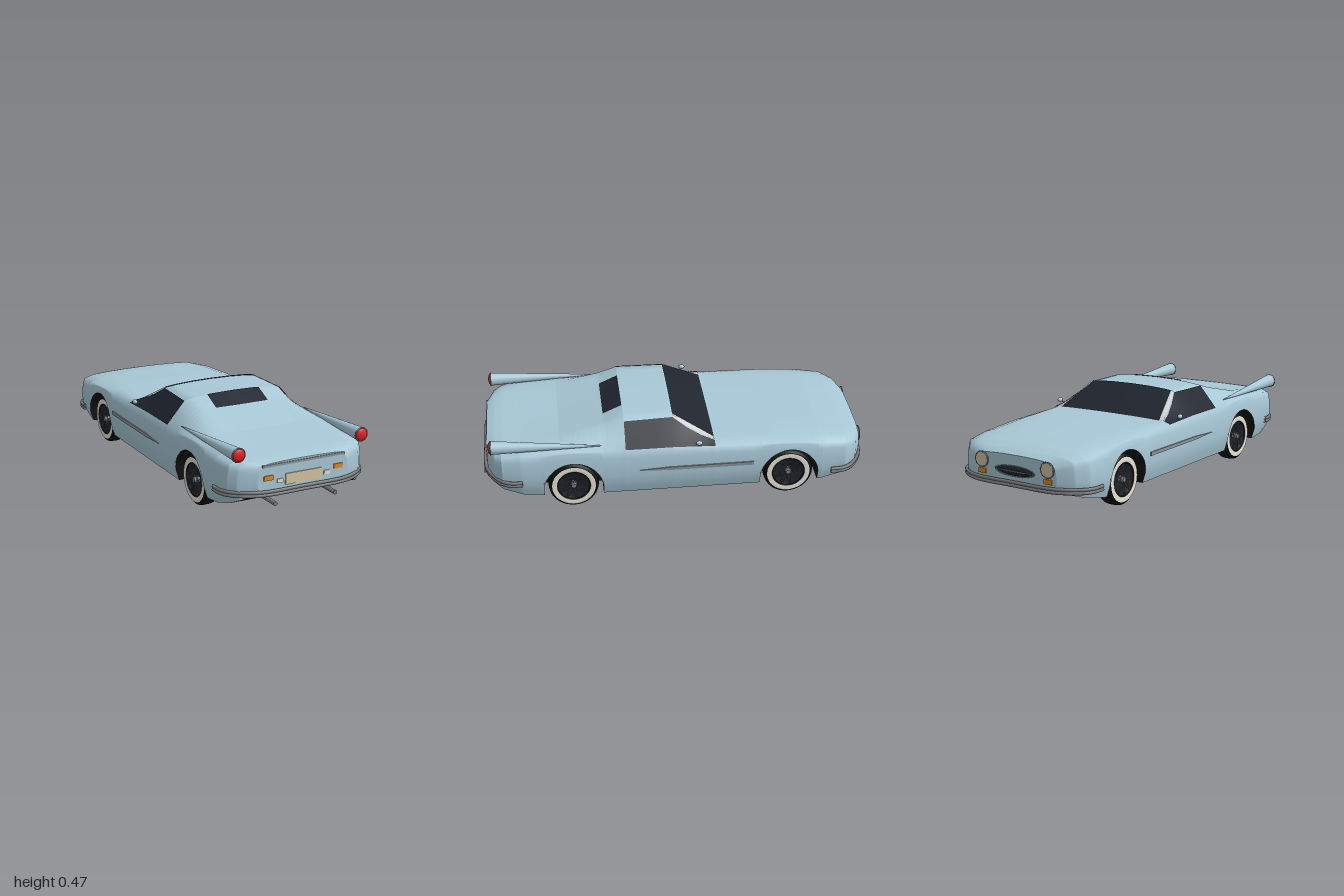
import * as THREE from 'three';

const mat = (color, extra = {}) => new THREE.MeshStandardMaterial({ color, side: THREE.DoubleSide, ...extra });
const paint = mat(0xa8c8d6), glass = mat(0x20252f), black = mat(0x111111, { flatShading: true });
const grey = mat(0x777a7d), chrome = mat(0xcccccc), dark = mat(0x20232b), trim = mat(0x8a9399);
const amber = mat(0xe08a1a), red = mat(0xe02020), white = mat(0xe6e2d6), tan = mat(0xd2c4a2);
const lerp = THREE.MathUtils.lerp;

// Body stations: z, half width, bottom, shoulder y, roof edge x, roof edge y, centre y
const KEYS = [
  [-0.975, 0.25, 0.14, 0.255, 0.17, 0.278, 0.284],
  [-0.94, 0.325, 0.125, 0.28, 0.22, 0.297, 0.303],
  [-0.88, 0.375, 0.105, 0.295, 0.25, 0.314, 0.32],
  [-0.75, 0.39, 0.08, 0.31, 0.26, 0.331, 0.337],
  [-0.5, 0.392, 0.08, 0.325, 0.27, 0.343, 0.347],
  [-0.19, 0.392, 0.08, 0.33, 0.31, 0.343, 0.348],
  [0.02, 0.392, 0.08, 0.335, 0.26, 0.458, 0.471],
  [0.27, 0.392, 0.08, 0.335, 0.27, 0.455, 0.471],
  [0.37, 0.392, 0.08, 0.34, 0.265, 0.425, 0.42],
  [0.6, 0.392, 0.08, 0.345, 0.28, 0.372, 0.364],
  [0.8, 0.39, 0.1, 0.338, 0.28, 0.35, 0.347],
  [0.9, 0.372, 0.13, 0.325, 0.25, 0.34, 0.341],
  [0.94, 0.335, 0.15, 0.315, 0.24, 0.332, 0.336],
  [0.975, 0.25, 0.185, 0.29, 0.2, 0.32, 0.326],
];
const SIDE = [[0, 0.94], [0.25, 0.99], [0.5, 1], [0.75, 0.99], [0.9, 0.975], [1, 0.955]];
const AXLES = [-0.58, 0.54], ARCH = 0.152, HUB_Y = 0.13;

// Piecewise linear lookup over rows sorted by their first entry
function sample(rows, t) {
  let i = 0;
  while (i < rows.length - 2 && t > rows[i + 1][0]) i++;
  const k = THREE.MathUtils.clamp((t - rows[i][0]) / (rows[i + 1][0] - rows[i][0]), 0, 1);
  return rows[i].map((v, n) => lerp(v, rows[i + 1][n], k));
}

// Lower edge of the side panel, lifted over each wheel
function lowerEdge(z, base) {
  for (const a of AXLES) {
    const d = Math.abs(z - a);
    if (d < ARCH) return Math.max(base, HUB_Y + Math.sqrt(ARCH * ARCH - d * d));
  }
  return base;
}

// Top half-section, from shoulder to centre line
function topHalf(z) {
  const [, w, , ys, xe, ye, yt] = sample(KEYS, z);
  const cabin = THREE.MathUtils.clamp((ye - ys) / 0.1, 0, 1), sx = 0.955 * w;
  return [[sx, ys], [lerp(sx, xe, 0.5), lerp(ys, ye, 0.5) + 0.007 * (1 - cabin)], [xe, ye],
    [xe * 0.8, lerp(ye, yt, 0.45)], [xe * 0.45, lerp(ye, yt, 0.85)], [0, yt]];
}

function bodySection(z) {
  const [, w, yb, ys] = sample(KEYS, z), b = lowerEdge(z, yb), half = [];
  for (let i = 0; i < 7; i++) {
    const y = lerp(b, ys, i / 7);
    half.push([w * sample(SIDE, (y - yb) / (ys - yb))[1], y]);
  }
  half.push(...topHalf(z));
  return [...half, ...half.slice(0, -1).reverse().map(([x, y]) => [-x, y])];
}

function floorSection(z) {
  const [, w, yb, ys] = sample(KEYS, z), b = lowerEdge(z, yb);
  const x = w * sample(SIDE, (b - yb) / (ys - yb))[1], inner = Math.min(0.26, 0.9 * w);
  return [[-x, b], [-inner, b], [-inner, yb], [inner, yb], [inner, b], [x, b]];
}

// Skin over rows of points
function skin(rows) {
  const n = rows[0].length, index = [];
  for (let i = 0; i < rows.length - 1; i++) for (let j = 0; j < n - 1; j++) {
    const a = i * n + j, c = a + n;
    index.push(a, a + 1, c, a + 1, c + 1, c);
  }
  const g = new THREE.BufferGeometry();
  g.setAttribute('position', new THREE.Float32BufferAttribute(rows.flat(2), 3));
  g.setIndex(index);
  g.computeVertexNormals();
  return g;
}

// Panel lying on the top surface between x limits that vary along z
function topPatch(z0, z1, limits, lift = 0.004) {
  const rows = [];
  for (let i = 0; i <= 10; i++) {
    const z = lerp(z0, z1, i / 10), [xa, xb] = limits(i / 10), table = topHalf(z).reverse(), row = [];
    for (let j = 0; j <= 24; j++) {
      const x = lerp(xb, xa, j / 24);
      row.push([x, sample(table, Math.abs(x))[1] + lift, z]);
    }
    rows.push(row);
  }
  return skin(rows);
}

// Side glass between shoulder and roof edge
function sideGlass(s) {
  const rows = [];
  for (const z of [-0.19, -0.12, -0.05, 0.02, 0.1, 0.19, 0.27]) {
    const [p, m, q] = topHalf(z), end = lerp(0.55, 0.95, Math.min(1, (z + 0.19) / 0.21));
    rows.push([0.02, end / 2, end].map(t => {
      const [a, b, k] = t < 0.5 ? [p, m, t * 2] : [m, q, t * 2 - 1];
      return [s * (lerp(a[0], b[0], k) + 0.004), lerp(a[1], b[1], k) + 0.003, z];
    }));
  }
  return skin(rows);
}

function makeWheel(s) {
  const wheel = new THREE.Group();
  const part = (name, geo, m) => {
    const mesh = new THREE.Mesh(geo, m);
    mesh.name = name;
    wheel.add(mesh);
    return mesh;
  };
  const lathe = pts => new THREE.LatheGeometry(pts.map(p => new THREE.Vector2(...p)), 40);
  part('tyre', lathe([[0.08, -0.038], [0.115, -0.04], [0.127, -0.03], [0.13, -0.015],
    [0.13, 0.015], [0.127, 0.03], [0.115, 0.04], [0.08, 0.038]]), black);
  part('whitewall', lathe([[0.113, 0.0415], [0.1, 0.0425], [0.087, 0.041]]), white);
  part('rim', lathe([[0.09, 0.04], [0.084, 0.041], [0.08, 0.02], [0, 0.012]]), dark);
  part('innerDisc', lathe([[0.09, -0.036], [0, -0.03]]), dark);
  part('hub', new THREE.CylinderGeometry(0.013, 0.018, 0.03, 16), grey).position.y = 0.028;
  for (let i = 0; i < 20; i++) {
    const a = i / 20 * Math.PI * 2, spoke = part('spoke', new THREE.CylinderGeometry(0.0016, 0.0016, 0.07, 5), grey);
    spoke.position.set(Math.cos(a) * 0.048, 0.032, Math.sin(a) * 0.048);
    spoke.rotation.set(Math.PI / 2, 0, a - Math.PI / 2 + (i % 2 ? 0.25 : -0.25));
  }
  wheel.rotation.z = -s * Math.PI / 2;
  return wheel;
}

export function createModel() {
  const car = new THREE.Group();
  car.name = 'car';
  const add = (name, geo, m, x = 0, y = 0, z = 0) => {
    const mesh = new THREE.Mesh(geo, m);
    mesh.name = name;
    mesh.position.set(x, y, z);
    car.add(mesh);
    return mesh;
  };
  const box = (name, m, w, h, d, x, y, z) => add(name, new THREE.BoxGeometry(w, h, d), m, x, y, z);
  const tube = (name, pts, r, m) => add(name, new THREE.TubeGeometry(
    new THREE.CatmullRomCurve3(pts.map(p => new THREE.Vector3(...p))), 60, r, 8), m);

  // Body shell and floor, with extra stations around the arches
  const zs = KEYS.map(k => k[0]);
  for (let z = -0.96; z < 0.97; z += 0.03) zs.push(z);
  for (const a of AXLES) {
    for (const s of [-1, 1]) zs.push(a + s * (ARCH + 0.0005));
    for (let i = 0; i <= 24; i++) zs.push(a + (ARCH - 0.0002) * Math.cos(i / 24 * Math.PI));
  }
  zs.sort((a, b) => a - b);
  const loft = section => skin(zs.map(z => section(z).map(([x, y]) => [x, y, z])));
  add('body', loft(bodySection), paint);
  add('underbody', loft(floorSection), black);
  for (const [name, z] of [['nosePanel', -0.975], ['tailPanel', 0.975]])
    add(name, new THREE.ShapeGeometry(new THREE.Shape(bodySection(z).map(p => new THREE.Vector2(...p)))), paint, 0, 0, z);

  // Glass
  add('windshield', topPatch(-0.19, 0.02, t => [-lerp(0.312, 0.25, t), lerp(0.312, 0.25, t)]), glass);
  add('rearWindow', topPatch(0.272, 0.37, () => [-0.15, 0.15]), glass);

  // Tail fittings
  box('licencePlate', tan, 0.2, 0.055, 0.01, 0, 0.232, 0.975);
  box('tailTrim', trim, 0.45, 0.012, 0.008, 0, 0.311, 0.975);

  // Grille
  const grille = add('grille', new THREE.SphereGeometry(1, 32, 16), dark, 0, 0.205, -0.972);
  grille.scale.set(0.115, 0.024, 0.012);
  const grilleRim = add('grilleRim', new THREE.TorusGeometry(1, 0.04, 8, 40), grey, 0, 0.205, -0.976);
  grilleRim.scale.set(0.118, 0.026, 0.1);
  box('grilleBar', grey, 0.2, 0.004, 0.01, 0, 0.205, -0.981);

  // Double-tube bumpers wrapping the corners
  const outline = [[0.391, 0.8], [0.387, 0.86], [0.365, 0.905], [0.3, 0.955], [0.22, 0.984], [0, 0.988]];
  for (const [name, s, y] of [['rearBumper', 1, 0.18], ['frontBumper', -1, 0.145]])
    for (const dy of [-0.008, 0.008]) {
      const half = outline.map(([x, z]) => [x, y + dy, s * z]);
      tube(name, [...half, ...half.slice(0, -1).reverse().map(([x, h, z]) => [-x, h, z])], 0.009, grey);
    }

  for (const s of [1, -1]) {
    add('sideWindow', sideGlass(s), glass);
    add('windshieldPillar', topPatch(-0.19, 0.02, t => {
      const a = s * lerp(0.312, 0.25, t), b = s * lerp(0.338, 0.268, t);
      return [Math.min(a, b), Math.max(a, b)];
    }, 0.005), chrome);

    // Tail fin cone ending in a round lamp
    const fin = add('tailFin', new THREE.CylinderGeometry(0.035, 0.002, 0.56, 28), paint, s * 0.346, 0.371, 0.67);
    fin.rotation.x = Math.PI / 2 - 0.03;
    fin.rotation.z = s * 0.03;
    add('lampRim', new THREE.TorusGeometry(0.033, 0.004, 8, 32), grey, s * 0.338, 0.379, 0.95);
    const lamp = add('tailLamp', new THREE.SphereGeometry(0.032, 28, 14), red, s * 0.338, 0.379, 0.95);
    lamp.scale.z = 0.45;

    box('rearIndicator', amber, 0.05, 0.024, 0.012, s * 0.192, 0.252, 0.974);
    box('reverseLamp', white, 0.032, 0.02, 0.012, s * 0.129, 0.23, 0.974);
    add('exhaust', new THREE.CylinderGeometry(0.011, 0.011, 0.14, 14), grey, s * 0.166, 0.127, 0.93).rotation.x = Math.PI / 2;

    // Headlamps
    add('headlamp', new THREE.CylinderGeometry(0.036, 0.036, 0.03, 28), tan, s * 0.2, 0.24, -0.968).rotation.x = Math.PI / 2;
    add('headlampRim', new THREE.TorusGeometry(0.037, 0.004, 8, 28), grey, s * 0.2, 0.24, -0.98);
    box('frontIndicator', amber, 0.046, 0.024, 0.016, s * 0.2, 0.182, -0.972);

    // Tapered side trim
    const strip = new THREE.Shape([[0.2, 0.222], [0.05, 0.214], [-0.39, 0.214], [-0.39, 0.233], [0.05, 0.231]]
      .map(([z, y]) => new THREE.Vector2(-z, y)));
    const stripMesh = add('sideTrim', new THREE.ExtrudeGeometry(strip, { depth: 0.006, bevelEnabled: false }), trim, s * 0.393 - 0.003);
    stripMesh.rotation.y = Math.PI / 2;

    // Door mirror
    tube('mirrorStalk', [[s * 0.36, 0.336, -0.09], [s * 0.374, 0.352, -0.095], [s * 0.384, 0.36, -0.1]], 0.003, grey);
    add('mirror', new THREE.SphereGeometry(0.012, 16, 12), paint, s * 0.385, 0.362, -0.105).scale.z = 1.4;

    for (const z of AXLES) {
      const wheel = makeWheel(s);
      wheel.name = z < 0 ? 'frontWheel' : 'rearWheel';
      wheel.position.set(s * 0.322, HUB_Y, z);
      car.add(wheel);
    }
  }
  return car;
}
